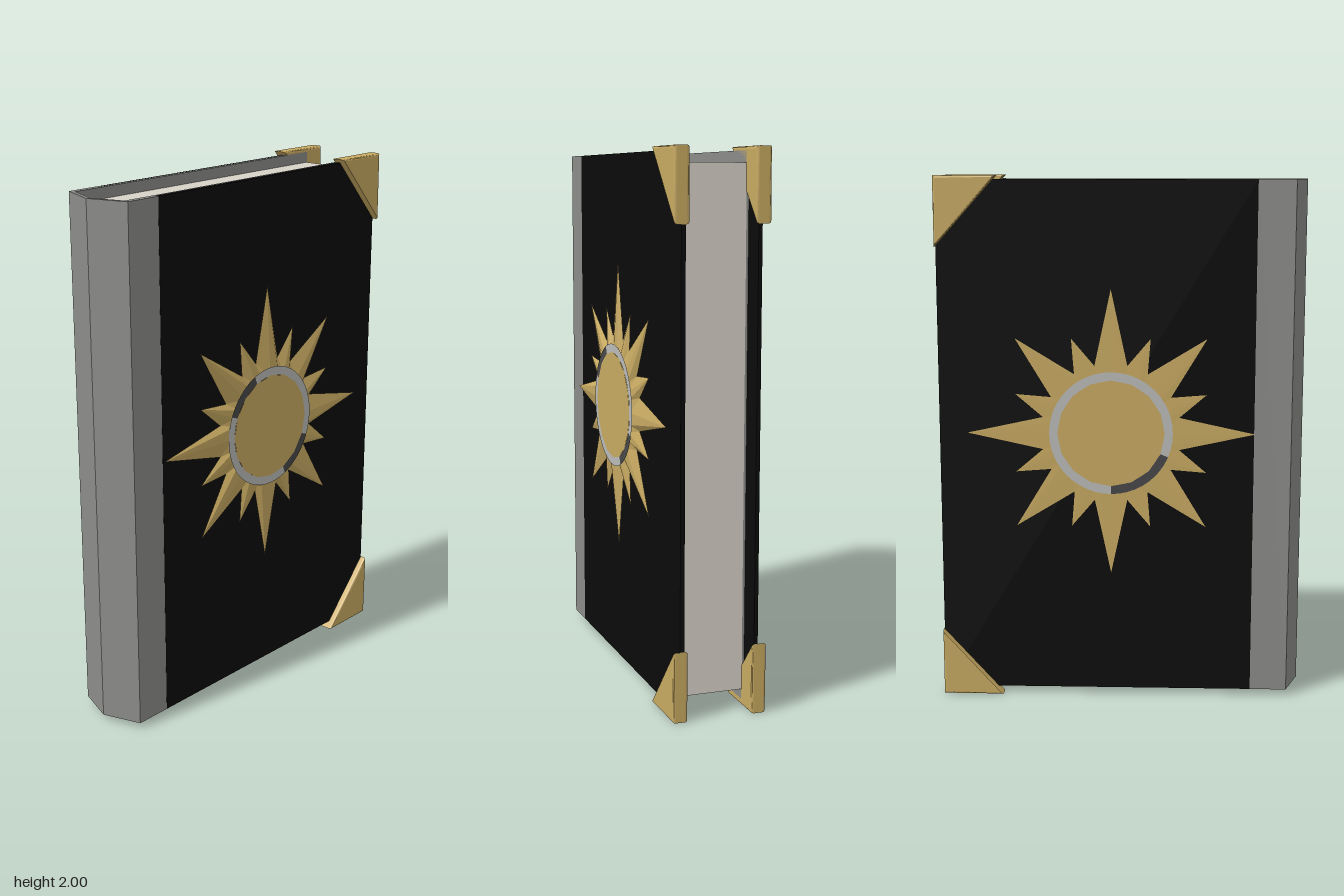
import * as THREE from 'three';

const mat = (name, color, side = THREE.FrontSide) => {
  const m = new THREE.MeshStandardMaterial({ color, side });
  m.name = name;
  return m;
};

// Star of flat facets: sharp outline at z = 0 rising to a ring of height h, with a flat backing
function starGeometry(h) {
  const tips = [0.545, 0.39, 0.51, 0.39]; // long, small, diagonal, small
  const valley = 0.265, inner = 0.2;
  const polar = (r, deg, z) => {
    const a = THREE.MathUtils.degToRad(deg);
    return [r * Math.cos(a), r * Math.sin(a), z];
  };
  const outline = [], ridge = [];
  for (let i = 0; i < 16; i++) {
    const deg = i * 22.5, toNext = i % 2 ? 9 : 13.5;
    for (const [r, a] of [[tips[i % 4], deg], [valley, deg + toNext]]) {
      outline.push(polar(r, a, 0));
      ridge.push(polar(inner, a, h));
    }
  }
  const pos = [];
  for (let i = 0; i < 32; i++) {
    const j = (i + 1) % 32;
    pos.push(...ridge[i], ...outline[i], ...outline[j]);
    pos.push(...ridge[i], ...outline[j], ...ridge[j]);
    pos.push(0, 0, 0, ...outline[j], ...outline[i]);
  }
  const g = new THREE.BufferGeometry();
  g.setAttribute('position', new THREE.Float32BufferAttribute(pos, 3));
  g.computeVertexNormals();
  return g;
}

// Extrudes an outline of [x, z] points upward from y0 to y1
function upright(points, y0, y1) {
  const shape = new THREE.Shape(points.map(([x, z]) => new THREE.Vector2(x, -z)));
  const g = new THREE.ExtrudeGeometry(shape, { depth: y1 - y0, bevelEnabled: false });
  return g.rotateX(-Math.PI / 2).translate(0, y0, 0);
}

export function createModel() {
  const black = mat('black cover', 0x0b0b0b);
  const grey = mat('grey spine', 0x8c8c8a);
  const paper = mat('paper', 0xd8d2c8);
  const gold = mat('gold', 0xc8aa62, THREE.DoubleSide);
  const silver = mat('silver', 0xbcbcba);
  const dark = mat('dark silver', 0x48484a);

  const book = new THREE.Group();
  book.name = 'book';
  const add = (parent, name, geometry, material) => {
    const m = new THREE.Mesh(geometry, material);
    m.name = name;
    parent.add(m);
    return m;
  };

  // Page block, pointed toward the spine
  add(book, 'pages', upright([
    [-0.63, 0.119], [0.6, 0.119], [0.6, -0.129], [-0.63, -0.129], [-0.672, -0.005],
  ], 0.065, 1.945), paper);

  // Spine shell: strips on both faces meeting in a shallow point, lining the covers
  add(book, 'spine', upright([
    [-0.5, 0.141], [-0.64, 0.141], [-0.692, -0.005], [-0.64, -0.151], [-0.5, -0.151],
    [-0.5, -0.139], [0.6, -0.139], [0.6, -0.128], [-0.632, -0.128],
    [-0.676, -0.005],
    [-0.632, 0.118], [0.6, 0.118], [0.6, 0.127], [-0.5, 0.127],
  ], 0.028, 1.986), grey);

  // Cover boards
  for (const [name, z, d] of [['frontCover', 0.1335, 0.016], ['backCover', -0.1445, 0.014]]) {
    const cover = add(book, name, new THREE.BoxGeometry(1.19, 1.957, d), black);
    cover.position.set(0.095, 1.007, z);
  }

  // Gold corner guards with softened edges
  const cornerShape = (top) => new THREE.Shape((top
    ? [[0.46, 2.0], [0.692, 1.74], [0.692, 2.0]]
    : [[0.46, 0.005], [0.692, 0.005], [0.692, 0.262]]
  ).map(([x, y]) => new THREE.Vector2(x, y)));
  for (const top of [true, false]) {
    for (const [face, z] of [['front', 0.112], ['back', -0.184]]) {
      const b = 0.01;
      const g = new THREE.ExtrudeGeometry(cornerShape(top), {
        depth: 0.056 - 2 * b, bevelThickness: b, bevelSize: b, bevelOffset: -b, bevelSegments: 3,
      });
      add(book, `${face}${top ? 'Upper' : 'Lower'}Corner`, g, gold).position.z = z + b;
    }
  }

  // Sun emblem: star, ring in segments and central disc
  const emblem = (name, h, darkArcs) => {
    const g = new THREE.Group();
    g.name = name;
    add(g, 'sunRays', starGeometry(h), gold);
    const step = Math.PI / 8;
    for (let i = 0; i < 16; i++) {
      const seg = new THREE.RingGeometry(0.2, 0.234, 1, 1, i * step, step);
      add(g, 'sunRing', seg, darkArcs.includes(i) ? dark : silver).position.z = h + 0.002;
    }
    add(g, 'sunDisc', new THREE.CircleGeometry(0.203, 16), gold).position.z = h + 0.003;
    book.add(g);
    return g;
  };
  emblem('frontSun', 0.02, [5, 6, 13, 14]).position.set(0.04, 1.04, 0.157);
  const back = emblem('backSun', 0.001, [12, 13, 14]);
  back.position.set(0.04, 1.04, -0.153);
  back.rotation.y = Math.PI;

  return book;
}
